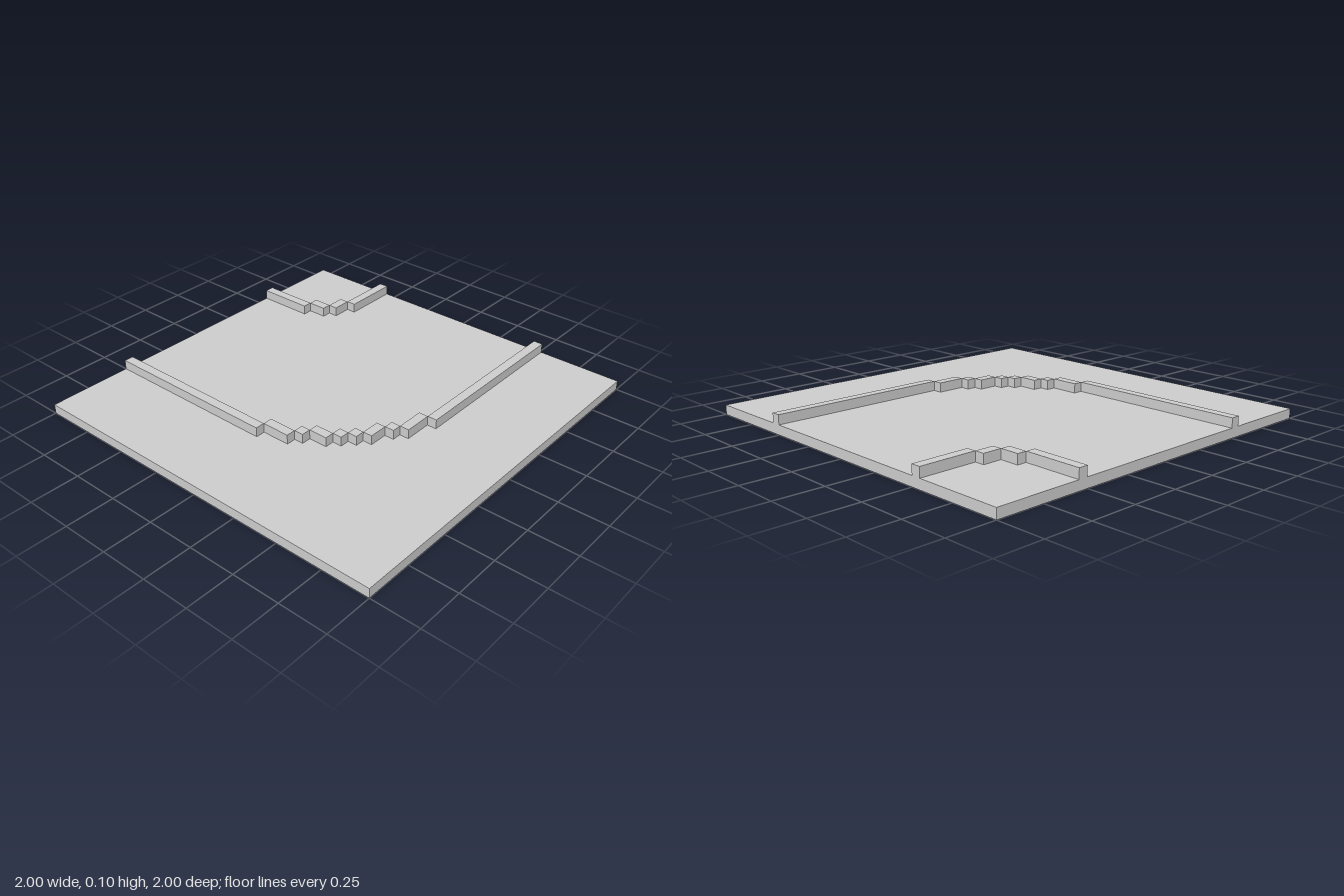
import * as THREE from 'three';

const STEP = 0.05; // kerb width, kerb height and slab thickness

export function createModel() {
  const model = new THREE.Group();
  const material = new THREE.MeshStandardMaterial({ color: 0xcccccc, flatShading: true });

  const addBox = (parent, name, x0, x1, y0, z0, z1) => {
    const mesh = new THREE.Mesh(new THREE.BoxGeometry(x1 - x0, STEP, z1 - z0), material);
    mesh.position.set((x0 + x1) / 2, y0 + STEP / 2, (z0 + z1) / 2);
    mesh.name = name;
    parent.add(mesh);
  };

  // Square ground slab
  addBox(model, 'groundSlab', -1, 1, 0, -1, 1);

  // Stepped kerb: each run goes along x and moves one step back;
  // the second half swaps x and z across the tile's diagonal.
  const addKerb = (name, xStops, zStart) => {
    const kerb = new THREE.Group();
    kerb.name = name;
    for (let i = 0; i < xStops.length - 1; i++) {
      const a = xStops[i], b = xStops[i + 1], z = zStart - i * STEP;
      addBox(kerb, 'kerbRunAcross', a, b, STEP, z, z + STEP);
      addBox(kerb, 'kerbRunAlong', z, z + STEP, STEP, a, b);
    }
    model.add(kerb);
  };

  addKerb('outerKerb', [-1, -0.05, 0.1, 0.15, 0.25, 0.3], 0.5);
  addKerb('innerKerb', [-1, -0.7, -0.6], -0.55);

  return model;
}
